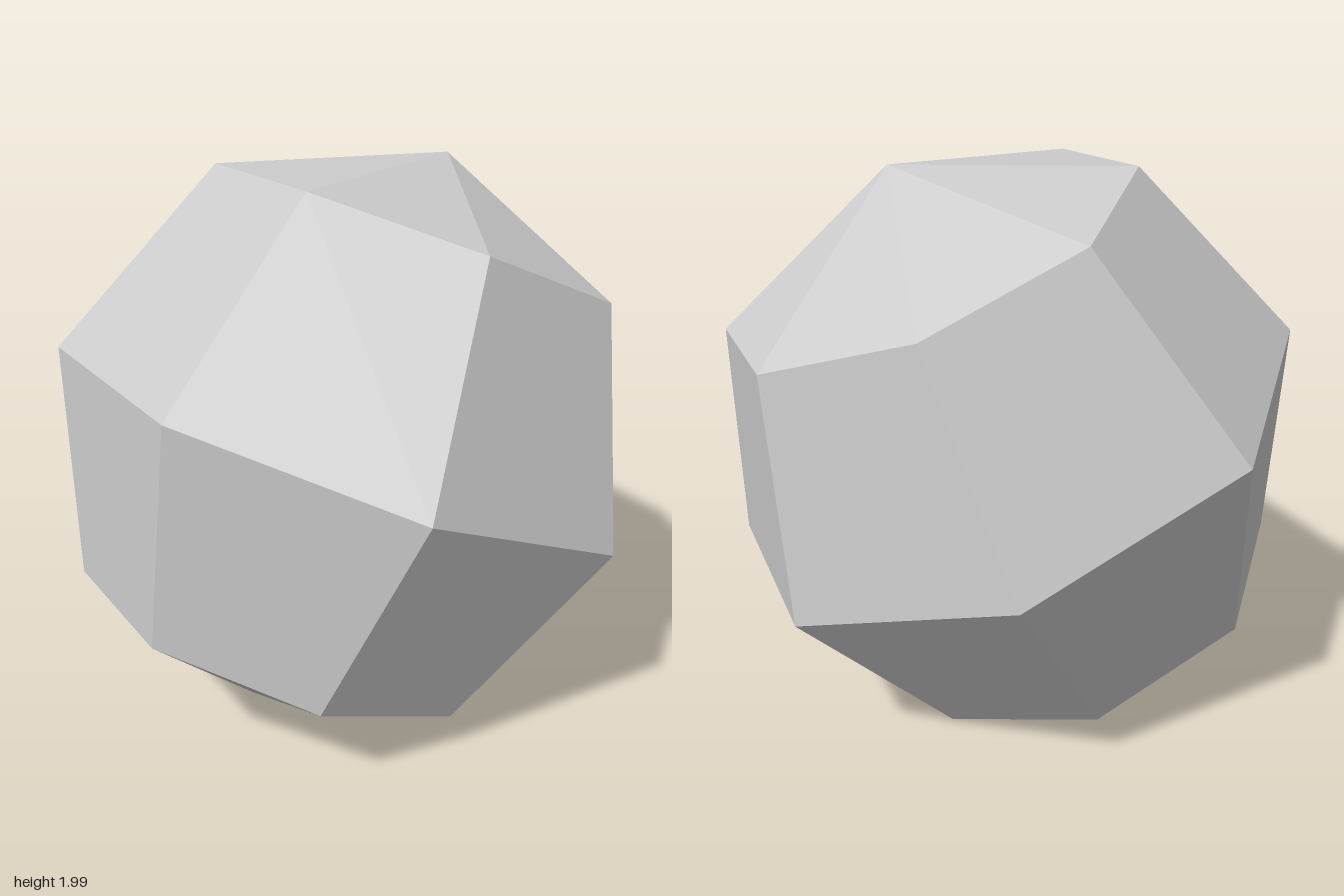
import * as THREE from 'three';

export function createModel() {
  const group = new THREE.Group();
  const radius = 1 / Math.cos(Math.PI / 8); // side corners reach z = ±1
  const tilt = THREE.MathUtils.degToRad(23.5);

  // Low-poly globe: eight segments, four rings, leaning toward +x
  const geometry = new THREE.SphereGeometry(radius, 8, 4);
  geometry.rotateY(Math.PI / 8);
  geometry.rotateZ(-tilt);
  geometry.translate(0, radius * Math.cos(tilt), 0); // lowest pole on the ground

  const globe = new THREE.Mesh(
    geometry,
    new THREE.MeshStandardMaterial({ color: 0xcccccc, flatShading: true })
  );
  globe.name = 'tiltedGlobe';
  group.add(globe);
  return group;
}
